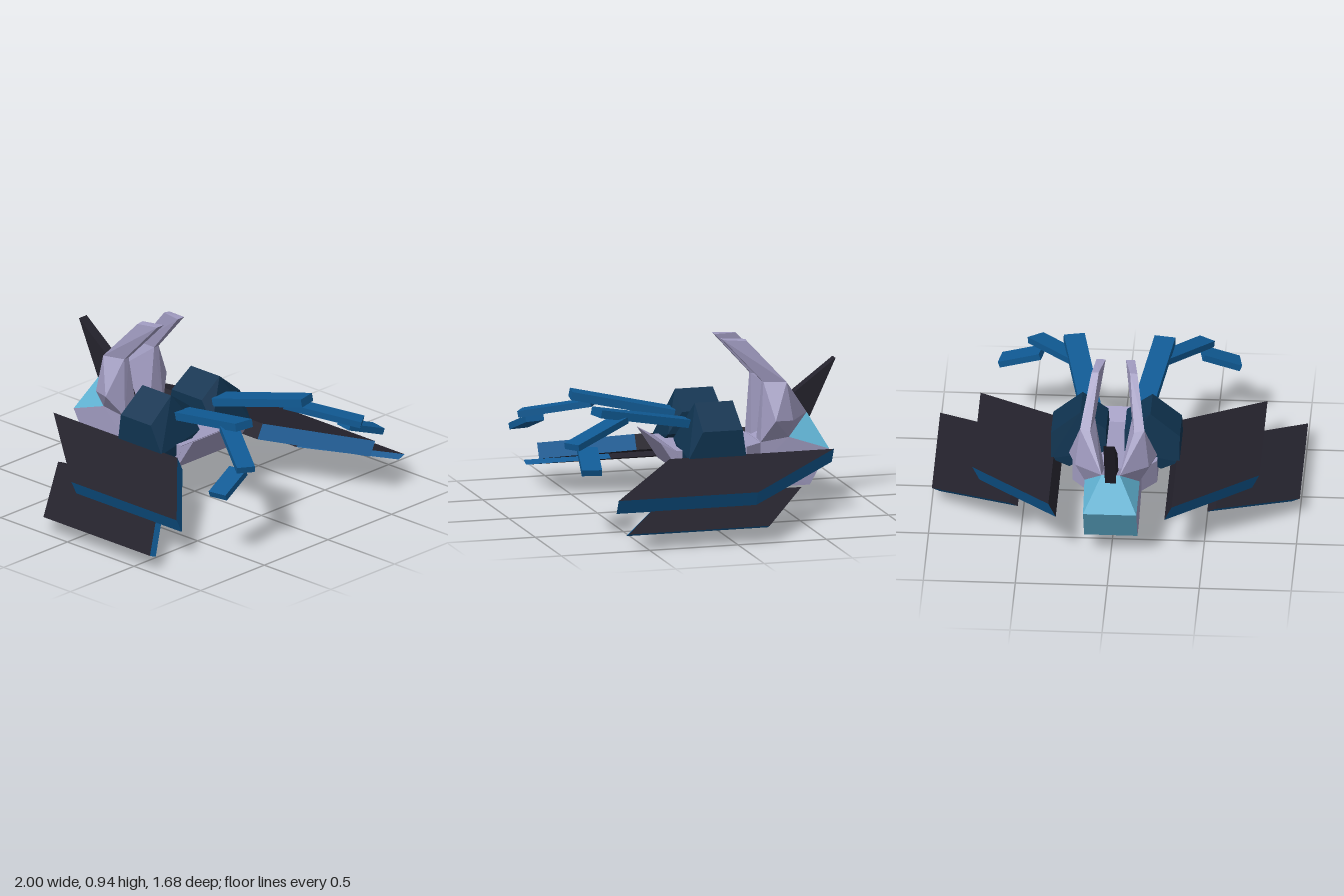
import * as THREE from 'three';
import { ConvexGeometry } from 'three/addons/geometries/ConvexGeometry.js';

const paint = (name, color) => {
  const m = new THREE.MeshStandardMaterial({ color });
  m.name = name;
  return m;
};

export function createModel() {
  const lavender = paint('lavender', 0xa09bc0);
  const black = paint('black', 0x24222c);
  const navy = paint('navy', 0x0f3350);
  const blue = paint('blue', 0x105a94);
  const teal = paint('teal', 0x62b5d6);
  const model = new THREE.Group();

  // Faceted convex solid; pick(normal, centre) chooses a material index per face
  function hull(name, points, materials, pick) {
    const geo = new ConvexGeometry(points.map(p => new THREE.Vector3(...p)));
    if (pick) {
      const pos = geo.attributes.position;
      const tri = new THREE.Triangle(), n = new THREE.Vector3(), c = new THREE.Vector3();
      for (let i = 0; i < pos.count; i += 3) {
        tri.setFromAttributeAndIndices(pos, i, i + 1, i + 2);
        tri.getNormal(n);
        tri.getMidpoint(c);
        geo.addGroup(i, 3, pick(n, c));
      }
    }
    const mesh = new THREE.Mesh(geo, materials);
    mesh.name = name;
    model.add(mesh);
  }
  const mirror = (points, s) => points.map(([x, y, z]) => [s * x, y, z]);
  const both = points => [...points, ...mirror(points, -1)];

  // Straight arm segment: a flat bar between two points
  function bar(name, a, b, width, thick) {
    const p = new THREE.Vector3(...a), q = new THREE.Vector3(...b);
    const dir = q.clone().sub(p), length = dir.length();
    dir.normalize();
    const side = new THREE.Vector3(0, 1, 0).cross(dir).normalize();
    const up = dir.clone().cross(side);
    const mesh = new THREE.Mesh(new THREE.BoxGeometry(width, thick, length), blue);
    mesh.quaternion.setFromRotationMatrix(new THREE.Matrix4().makeBasis(side, up, dir));
    mesh.position.copy(p.add(q).multiplyScalar(0.5));
    mesh.name = name;
    model.add(mesh);
  }

  // Hull: main box with tapered rear, and a raised lip at the front
  hull('body', both([
    [0.23, 0.368, 0.12], [0.23, 0.235, 0.09], [0.23, 0.368, -0.28], [0.23, 0.235, -0.28],
    [0.15, 0.368, -0.38], [0.15, 0.235, -0.38],
  ]), lavender);
  hull('frontLip', both([
    [0.23, 0.415, 0.208], [0.23, 0.366, 0.12], [0.23, 0.235, 0.09],
  ]), lavender);

  // Rear section with the teal canopy faces
  hull('rearCabin', both([
    [0.15, 0.37, -0.38], [0.05, 0.375, -0.385], [0.05, 0.5, -0.67], [0.15, 0.39, -0.54],
    [0.145, 0.31, -0.77], [0.145, 0.117, -0.66], [0.145, 0.117, -0.51], [0.15, 0.235, -0.38],
  ]), [lavender, teal], (n, c) => (c.z < -0.65 && (n.y > 0.2 || n.z < -0.3) ? 1 : 0));

  // Thin blade running through the rear cabin
  const blade = [[-0.84, 0.785], [-0.54, 0.56], [-0.42, 0.26], [-0.26, 0.0], [-0.54, 0.14], [-0.68, 0.46]];
  hull('blade', blade.flatMap(([z, y]) => [[0.03, y, z], [-0.03, y, z]]), black);

  // Upper and lower wing panels: four top corners and the shift down to the underside
  const panels = [
    ['upperWing', [-0.04, -0.08], [[0.335, 0.35, -0.74], [0.78, 0.235, -0.18], [0.78, 0.235, 0.61], [0.335, 0.35, 0.19]]],
    ['lowerWing', [-0.045, -0.018], [[0.56, 0.2, -0.49], [1, 0.095, -0.18], [1, 0.095, 0.62], [0.56, 0.2, 0.27]]],
  ];

  // Pod cross-section: x, y, front z, rear z
  const pod = [
    [0.19, 0.62, 0.005, -0.21], [0.35, 0.49, 0.005, -0.22], [0.05, 0.52, 0.005, -0.22],
    [0.35, 0.34, 0.085, -0.24], [0.25, 0.295, 0.085, -0.24], [0.05, 0.4, 0.085, -0.24],
  ];

  // Horn: flared root, leaning middle, forward-swept tip
  const hornMid = [[0.1, 0.7, -0.4], [0.135, 0.7, -0.4], [0.175, 0.7, -0.52], [0.12, 0.69, -0.53]];
  const hornRoot = [
    [0.05, 0.37, -0.385], [0.05, 0.5, -0.67], [0.24, 0.5, -0.44], [0.2, 0.49, -0.55],
    [0.15, 0.37, -0.38], [0.15, 0.39, -0.54],
  ];
  const hornTip = [[0.055, 0.94, -0.18], [0.105, 0.94, -0.18], [0.125, 0.93, -0.31], [0.085, 0.935, -0.31]];

  for (const s of [1, -1]) {
    const side = s > 0 ? 'left' : 'right';
    for (const [name, [dx, dy], top] of panels) {
      const points = [...top, ...top.map(([x, y, z]) => [x + dx, y + dy, z])];
      // Black faces and inner edge, blue outer edges
      hull(`${name}_${side}`, mirror(points, s), [blue, black], n =>
        (Math.abs(n.y) > 0.95 || (Math.abs(n.z) < 0.1 && n.x * s < -0.1) ? 1 : 0));
    }
    hull(`pod_${side}`, mirror(pod.flatMap(([x, y, f, r]) => [[x, y, f], [x, y, r]]), s), navy);
    hull(`hornBase_${side}`, mirror([...hornRoot, ...hornMid], s), lavender);
    hull(`hornTip_${side}`, mirror([...hornMid, ...hornTip], s), lavender);
  }

  // Jointed claw arms, posed slightly differently on each side
  const arms = {
    left: [
      [[0.15, 0.505, 0.03], [0.27, 0.62, 0.585]],
      [[0.25, 0.57, 0.44], [0.49, 0.485, 0.79]],
      [[0.45, 0.455, 0.69], [0.675, 0.375, 0.73]],
    ],
    right: [
      [[-0.135, 0.505, 0.03], [-0.225, 0.62, 0.585]],
      [[-0.215, 0.57, 0.46], [-0.44, 0.485, 0.805]],
      [[-0.42, 0.455, 0.73], [-0.62, 0.375, 0.765]],
    ],
  };
  for (const [side, [upper, fore, claw]] of Object.entries(arms)) {
    bar(`upperArm_${side}`, ...upper, 0.115, 0.045);
    bar(`forearm_${side}`, ...fore, 0.1, 0.036);
    bar(`claw_${side}`, ...claw, 0.11, 0.036);
  }
  return model;
}
